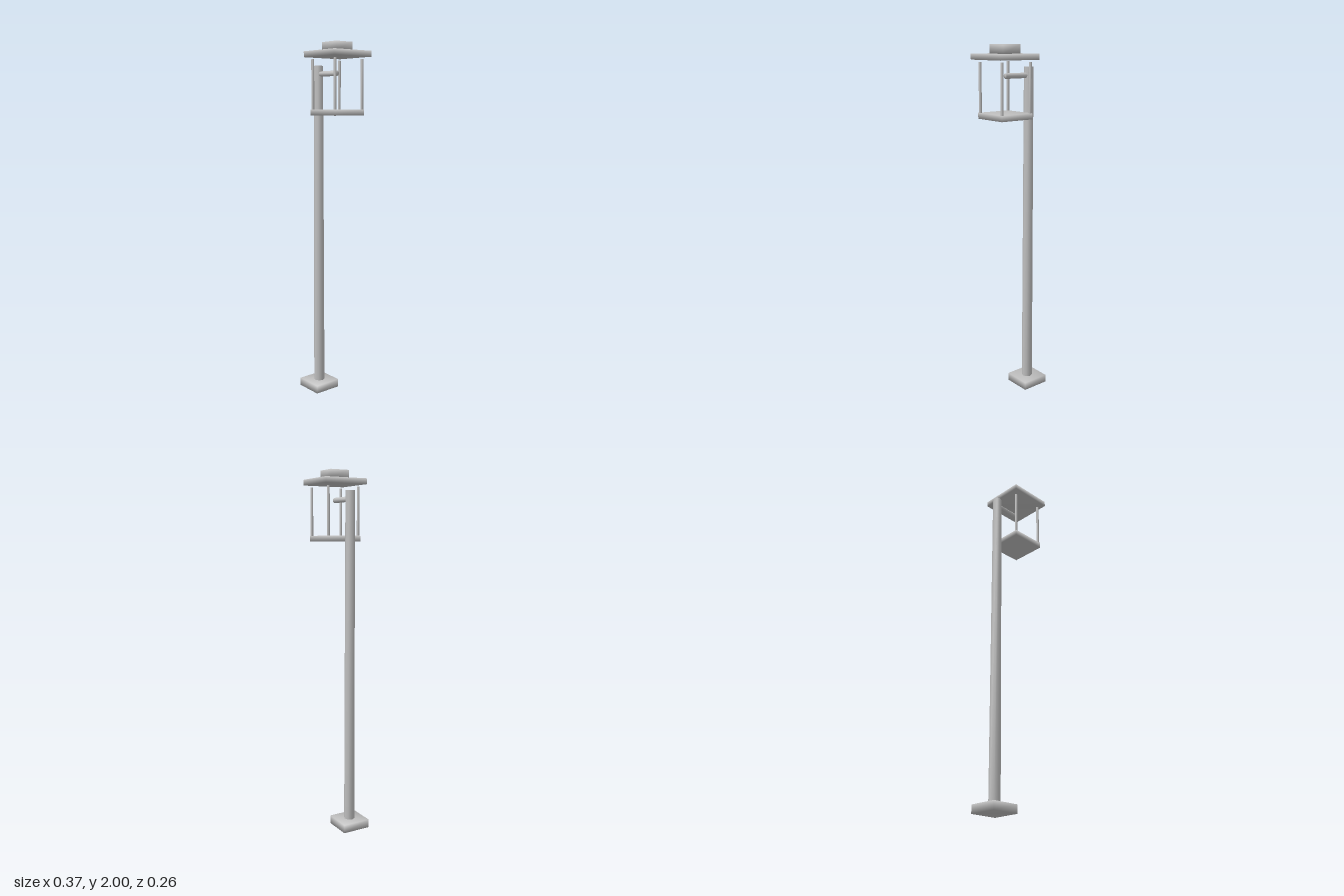
import * as THREE from 'three';
import { mergeVertices } from 'three/addons/utils/BufferGeometryUtils.js';

// Share every corner so normals blend softly across the edges
function weld(geometry) {
  geometry.deleteAttribute('normal');
  geometry.deleteAttribute('uv');
  const welded = mergeVertices(geometry, 1e-4);
  welded.computeVertexNormals();
  return welded;
}

export function createModel() {
  const group = new THREE.Group();
  group.name = 'lampPost';
  const metal = new THREE.MeshStandardMaterial({ color: 0xbfbfbf });
  metal.name = 'grey metal';

  function add(name, geometry, x, y, z, parent = group) {
    const mesh = new THREE.Mesh(weld(geometry), metal);
    mesh.name = name;
    mesh.position.set(x, y, z);
    parent.add(mesh);
    return mesh;
  }

  // Square slab between two heights
  function slab(name, width, bottom, top, x, z, parent) {
    const box = new THREE.BoxGeometry(width, top - bottom, width);
    return add(name, box, x, (bottom + top) / 2, z, parent);
  }

  // Foot and tapered pole
  const poleX = -0.106;
  slab('base', 0.161, 0, 0.046, poleX, -0.001);
  add('pole', new THREE.CylinderGeometry(0.026, 0.031, 1.863, 8), poleX, 0.02 + 1.863 / 2, -0.001);

  // Horizontal bracket from the pole into the lantern
  const arm = add('arm', new THREE.CylinderGeometry(0.0145, 0.0145, 0.161, 8), -0.0255, 1.838, -0.001);
  arm.rotation.z = -Math.PI / 2;

  // Lantern: floor, four corner posts, roof and cap
  const lantern = new THREE.Group();
  lantern.name = 'lantern';
  lantern.position.set(0.057, 0, -0.001);
  group.add(lantern);

  slab('lanternFloor', 0.206, 1.614, 1.646, 0, 0, lantern);
  for (const sx of [-1, 1]) {
    for (const sz of [-1, 1]) {
      add('lanternPost', new THREE.CylinderGeometry(0.008, 0.008, 0.272, 8),
        sx * 0.094, 1.775, sz * 0.094, lantern);
    }
  }
  slab('lanternRoof', 0.256, 1.922, 1.953, 0, 0, lantern);
  slab('lanternCap', 0.115, 1.953, 2, 0, 0, lantern);

  return group;
}
